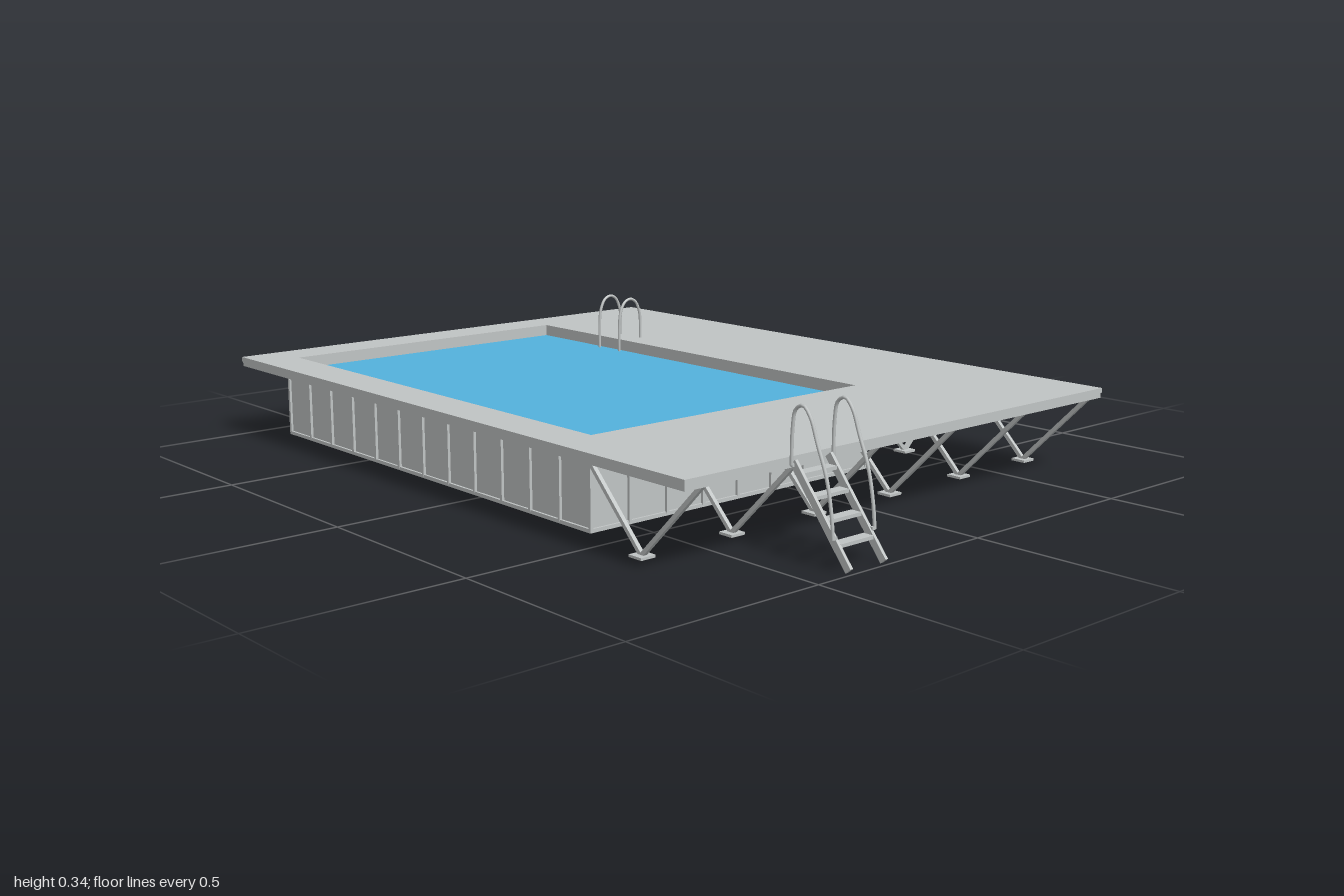
import * as THREE from 'three';

const mat = (name, color) => new THREE.MeshStandardMaterial({ name, color });

export function createModel() {
  const grey = mat('metalGrey', 0xc0c4c4);
  const blue = mat('waterBlue', 0x53b2dd);
  const deepBlue = mat('floorBlue', 0x347cb9);
  const root = new THREE.Group();
  root.name = 'raisedPool';

  const group = (name) => {
    const g = new THREE.Group();
    g.name = name;
    root.add(g);
    return g;
  };
  const add = (parent, name, geo, m) => {
    const mesh = new THREE.Mesh(geo, m);
    mesh.name = name;
    parent.add(mesh);
    return mesh;
  };
  // Box given by its lower and upper corners
  const box = (parent, name, m, x0, x1, y0, y1, z0, z1) => {
    const mesh = add(parent, name, new THREE.BoxGeometry(x1 - x0, y1 - y0, z1 - z0), m);
    mesh.position.set((x0 + x1) / 2, (y0 + y1) / 2, (z0 + z1) / 2);
  };
  // Square bar between two points
  const bar = (parent, name, a, b, w, d = w) => {
    const p = new THREE.Vector3(...a), q = new THREE.Vector3(...b);
    const mesh = add(parent, name, new THREE.BoxGeometry(w, d, p.distanceTo(q)), grey);
    mesh.position.copy(p).add(q).multiplyScalar(0.5);
    mesh.lookAt(q);
  };
  // Flat rectangular ring: outer and inner are [x0, x1, z0, z1]
  const ring = (parent, name, outer, inner, y0, y1) => {
    const corners = ([x0, x1, z0, z1]) =>
      [[x0, -z1], [x1, -z1], [x1, -z0], [x0, -z0]].map((p) => new THREE.Vector2(...p));
    const shape = new THREE.Shape(corners(outer));
    shape.holes.push(new THREE.Path(corners(inner).reverse()));
    const geo = new THREE.ExtrudeGeometry(shape, { depth: y1 - y0, bevelEnabled: false });
    geo.rotateX(-Math.PI / 2);
    add(parent, name, geo, grey).position.y = y0;
  };
  const rail = (parent, name, pts) => {
    const curve = new THREE.CatmullRomCurve3(pts.map((p) => new THREE.Vector3(...p)));
    add(parent, name, new THREE.TubeGeometry(curve, 40, 0.004, 8), grey);
  };

  const opening = [-0.588, 0.264, -0.887, 0.392];
  const wall = [-0.605, 0.282, -0.905, 0.409];
  const frame = [-0.611, 0.288, -0.911, 0.415];

  // Deck slab with a rim beam below its edge
  const deck = group('deck');
  ring(deck, 'deckSlab', [-0.7, 0.7, -1, 0.824], opening, 0.203, 0.215);
  ring(deck, 'rimBeam', [-0.698, 0.698, -0.998, 0.822], [-0.685, 0.685, -0.985, 0.809], 0.19, 0.203);

  // Tank walls, water and floor
  const tank = group('tank');
  ring(tank, 'tankWall', wall, opening, 0.004, 0.203);
  box(tank, 'water', blue, opening[0], opening[1], 0.004, 0.184, opening[2], opening[3]);
  box(tank, 'tankFloor', deepBlue, wall[0], wall[1], 0, 0.004, wall[2], wall[3]);
  ring(tank, 'bottomRail', frame, wall, 0, 0.009);
  ring(tank, 'topRail', frame, wall, 0.184, 0.192);

  // Upright ribs on all four walls
  const ribs = group('wallRibs');
  for (let i = 0; i <= 8; i++) {
    const x = -0.607 + (i * 0.891) / 8;
    for (const z of [-0.908, 0.412])
      box(ribs, 'rib', grey, x - 0.004, x + 0.004, 0.005, 0.19, z - 0.004, z + 0.004);
  }
  for (let i = 1; i < 12; i++) {
    const z = -0.908 + (i * 1.32) / 12;
    for (const x of [-0.608, 0.285])
      box(ribs, 'rib', grey, x - 0.004, x + 0.004, 0.005, 0.19, z - 0.004, z + 0.004);
  }

  // Joists below the wide right and front walkways
  const joists = group('joists');
  for (let i = 0; i < 14; i++) {
    const z = -0.945 + i * 0.1305;
    box(joists, 'sideJoist', grey, 0.288, 0.685, 0.19, 0.203, z - 0.014, z + 0.014);
  }
  for (let i = 0; i < 8; i++) {
    const x = -0.645 + i * 0.1293;
    box(joists, 'frontJoist', grey, x - 0.014, x + 0.014, 0.19, 0.203, 0.415, 0.809);
  }
  // Short joists under the narrow walkways
  for (let i = 0; i < 11; i++) {
    const z = -0.945 + i * 0.1305;
    box(joists, 'leftJoist', grey, -0.685, -0.611, 0.19, 0.203, z - 0.008, z + 0.008);
  }
  for (let i = 0; i < 7; i++) {
    const x = -0.56 + i * 0.13;
    box(joists, 'backJoist', grey, x - 0.008, x + 0.008, 0.19, 0.203, -0.985, -0.911);
  }

  // V-shaped supports standing on foot plates
  const supports = group('supports');
  const footPlate = (x, z) => box(supports, 'footPlate', grey, x - 0.02, x + 0.02, 0.002, 0.008, z - 0.02, z + 0.02);
  for (let i = 0; i < 6; i++) {
    const x = -0.645 + i * 0.2586, z = 0.36 - i * 0.261;
    footPlate(x, 0.63);
    footPlate(0.497, z);
    for (const s of [-1, 1]) {
      bar(supports, 'frontStrut', [x, 0.006, 0.63], [x, 0.193, 0.63 + s * 0.187], 0.01);
      bar(supports, 'sideStrut', [0.497, 0.006, z], [0.497 + s * 0.187, 0.193, z], 0.01);
    }
  }

  // Knee braces under the narrow left and back overhangs
  const braces = group('kneeBraces');
  for (let i = 0; i < 6; i++) {
    const z = 0.36 - i * 0.245, x = -0.56 + i * 0.157;
    bar(braces, 'leftBrace', [-0.608, 0.165, z], [-0.66, 0.194, z], 0.007);
    bar(braces, 'backBrace', [x, 0.165, -0.908], [x, 0.194, -0.96], 0.007);
  }

  // Entry ladder at the front
  const ladder = group('entryLadder');
  for (const s of [-1, 1]) {
    const x = -0.35 + s * 0.053;
    bar(ladder, 'stringer', [x, 0.006, 0.993], [x, 0.205, 0.832], 0.008, 0.018);
    const rx = -0.35 + s * 0.063;
    rail(ladder, 'handrail', [
      [rx, 0.065, 0.956], [rx, 0.12, 0.95], [rx, 0.19, 0.935], [rx, 0.26, 0.907], [rx, 0.31, 0.887],
      [rx, 0.331, 0.866], [rx, 0.32, 0.845], [rx, 0.28, 0.837], [rx, 0.2, 0.835],
    ]);
    for (const [y, z] of [[0.068, 0.955], [0.2, 0.835]])
      bar(ladder, 'railBracket', [x, y, z], [rx, y, z], 0.007);
  }
  for (let i = 0; i < 4; i++) {
    const y = 0.052 + i * 0.043, z = 0.952 - i * 0.0355;
    box(ladder, 'tread', grey, -0.4, -0.3, y - 0.004, y + 0.004, z - 0.014, z + 0.014);
  }

  // Arched grab rails at the pool edge
  const grab = group('grabRails');
  for (const z of [-0.61, -0.52]) {
    rail(grab, 'grabRail', [
      [0.25, 0.165, z], [0.25, 0.25, z], [0.255, 0.295, z], [0.271, 0.325, z], [0.293, 0.333, z],
      [0.313, 0.322, z], [0.327, 0.29, z], [0.33, 0.25, z], [0.33, 0.213, z],
    ]);
  }
  return root;
}
